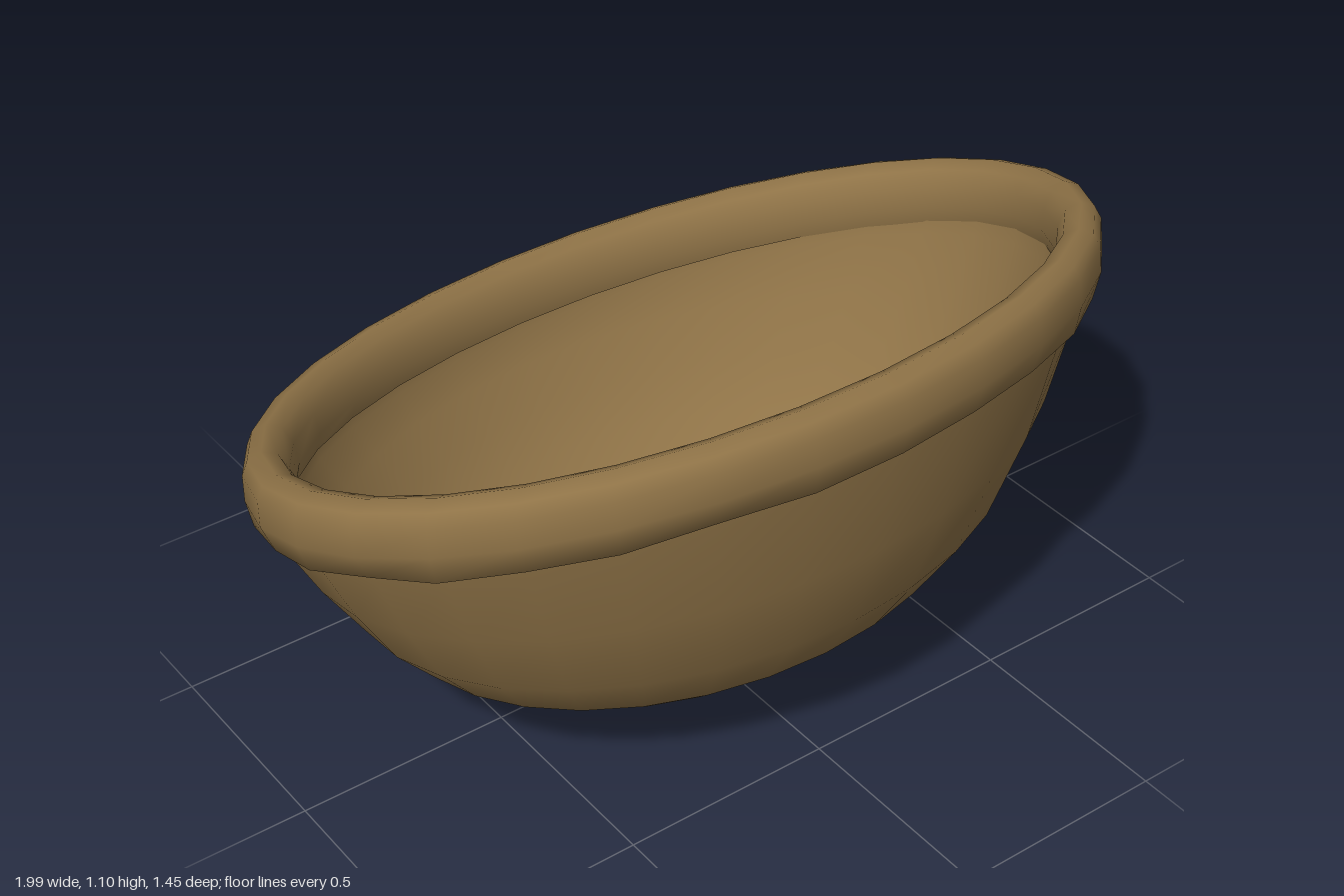
import * as THREE from 'three';

const SEG = 30;

// Skins a stack of tilted oval rings; each ring is
// [half width, front z, front y, back z, back y, sideways roll].
function loft(rings, wobble = () => 0) {
  const pos = [], index = [];
  rings.forEach(([a, zf, yf, zb, yb, roll], i) => {
    for (let j = 0; j < SEG; j++) {
      const t = (j / SEG) * Math.PI * 2, c = Math.cos(t);
      const k = 1 + wobble(i, j);
      const x = a * Math.sin(t) * k;
      const z = (zf + zb) / 2 + ((zf - zb) / 2) * c * k;
      const y = (yf + yb) / 2 + ((yf - yb) / 2) * c + roll * x;
      pos.push(x, y, z);
    }
  });
  for (let i = 0; i < rings.length - 1; i++) {
    for (let j = 0; j < SEG; j++) {
      const n = (j + 1) % SEG;
      const p = i * SEG + j, q = i * SEG + n;
      index.push(p, q, q + SEG, p, q + SEG, p + SEG);
    }
  }
  const g = new THREE.BufferGeometry();
  g.setAttribute('position', new THREE.Float32BufferAttribute(pos, 3));
  g.setIndex(index);
  g.computeVertexNormals();
  return g;
}

export function createModel() {
  const clay = new THREE.MeshStandardMaterial({ color: 0x8f7347, side: THREE.DoubleSide });
  clay.name = 'brown clay';
  const group = new THREE.Group();
  group.name = 'tiltedBowl';
  const add = (name, geometry) => {
    const mesh = new THREE.Mesh(geometry, clay);
    mesh.name = name;
    group.add(mesh);
  };

  // Round-bottomed shell, from the base up to the rim
  const shell = [
    [0.001, -0.03, 0, -0.031, 0, 0],
    [0.19, 0.13, 0.02, -0.15, 0.01, 0],
    [0.38, 0.27, 0.08, -0.30, 0.055, 0],
    [0.55, 0.39, 0.165, -0.42, 0.12, 0],
    [0.69, 0.51, 0.28, -0.52, 0.20, 0],
    [0.79, 0.60, 0.43, -0.59, 0.30, 0.01],
    [0.88, 0.66, 0.65, -0.65, 0.40, 0.02],
    [0.95, 0.695, 0.90, -0.685, 0.48, 0.04],
    [0.96, 0.70, 0.97, -0.69, 0.54, 0.04],
  ];
  add('outerShell', loft(shell));

  // Inner wall: the same rings drawn in and lifted, from the rim down
  const inner = shell.map(([a, zf, yf, zb, yb, roll], i) => {
    const s = i < 1 ? 1 : 0.94;
    const lift = 0.04 * (1 - i / 8);
    return [a * s, zf * s, yf + lift, zb * s, yb + lift, roll];
  }).reverse();
  add('innerWall', loft(inner));

  // Rounded rim band: [scale, height above the rim plane, forward shift]
  const band = [
    [0.95, -0.17, 0.012], [0.99, -0.165, 0.012], [1.0, -0.10, 0.006], [0.997, -0.04, 0],
    [0.982, -0.01, -0.004], [0.95, 0.003, -0.006], [0.915, -0.012, -0.006],
    [0.897, -0.05, 0], [0.89, -0.10, 0.004], [0.90, -0.14, 0.008],
  ].map(([s, h, dz]) => {
    const a = s, r = 0.725 - (1 - s) * 0.86;
    return [a, r + dz - 0.004, 1.09 + h, -r + dz - 0.004, 0.65 + h, 0.035];
  });
  // Hand-shaped unevenness along the lower outer edge
  const uneven = (i, j) => (i < 2 ? -0.012 * (1 + Math.sin(j * 2.3) * Math.cos(j * 0.9)) : 0);
  add('rim', loft(band, uneven));

  return group;
}
